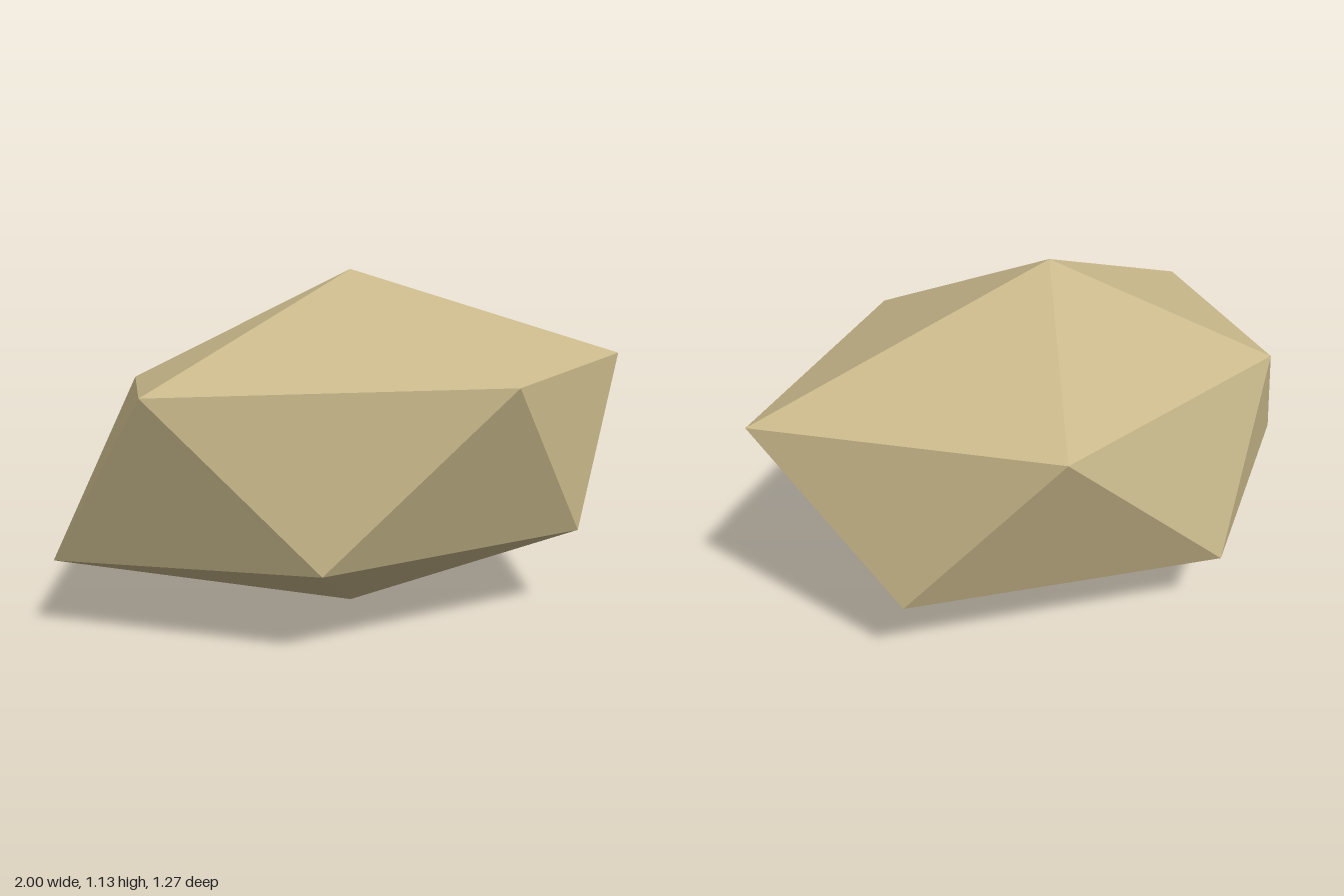
import * as THREE from 'three';

export function createModel() {
  const group = new THREE.Group();
  group.name = 'rock';

  const sandstone = new THREE.MeshStandardMaterial({ color: 0xc8b88a, flatShading: true });
  sandstone.name = 'sandstone';

  // Peak, two staggered five-point rings running from +x towards +z, and base point
  const peak = [-0.015, 1.13, 0];
  const base = [-0.015, 0, 0];
  const upper = [
    [1, 0.817, 0], [0.295, 0.81, 0.632], [-0.768, 0.793, 0.365],
    [-0.68, 0.762, -0.325], [0.295, 0.813, -0.637],
  ];
  const lower = [
    [0.67, 0.275, 0.335], [-0.283, 0.271, 0.547], [-1, 0.235, 0],
    [-0.31, 0.245, -0.6], [0.693, 0.266, -0.342],
  ];

  // Four facets for each fifth of the rock: cap, two belt facets, underside
  const corners = [];
  for (let i = 0; i < 5; i++) {
    const j = (i + 1) % 5;
    corners.push(
      peak, upper[j], upper[i],
      upper[i], upper[j], lower[i],
      upper[j], lower[j], lower[i],
      base, lower[i], lower[j],
    );
  }
  const geometry = new THREE.BufferGeometry();
  geometry.setAttribute('position', new THREE.Float32BufferAttribute(corners.flat(), 3));
  geometry.computeVertexNormals();

  const boulder = new THREE.Mesh(geometry, sandstone);
  boulder.name = 'boulder';
  group.add(boulder);
  return group;
}
